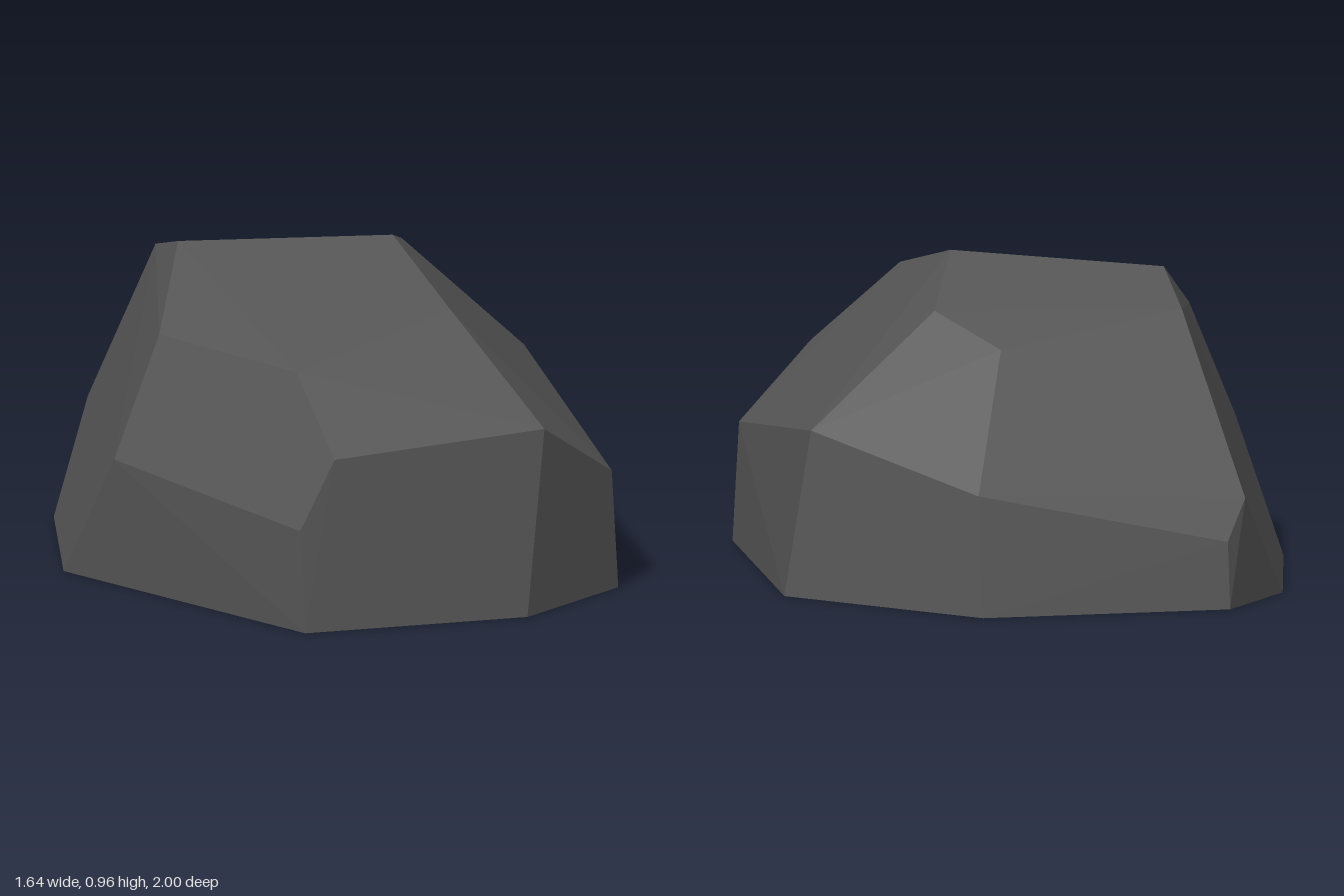
import * as THREE from 'three';
import { ConvexGeometry } from 'three/addons/geometries/ConvexGeometry.js';

// Corners of the faceted boulder, ring by ring from the ground up
const groundRing = [
  [-0.35, 0, 1], [0.35, 0, 0.97], [0.72, 0, 0.66], [0.82, 0, -0.44],
  [0.34, 0, -1], [-0.42, 0, -1], [-0.65, 0, -0.71], [-0.82, 0, 0],
];
const waistRing = [
  [-0.36, 0.31, 0.98], [-0.25, 0.52, 0.97], [0.42, 0.56, 0.91], [0.7, 0.36, 0.66],
  [0.74, 0.5, -0.45], [0.34, 0.36, -0.94], [-0.42, 0.2, -0.97], [-0.49, 0.32, -0.9],
  [-0.73, 0.39, 0.24],
];
const shoulderRing = [
  [0.24, 0.85, 0.51], [-0.29, 0.73, 0.69], [-0.57, 0.75, 0.17],
];
const crown = [
  [0.21, 0.965, -0.02], [-0.39, 0.93, -0.26], [-0.37, 0.85, -0.58],
  [0.21, 0.76, -0.68], [0.36, 0.85, -0.45],
];

// Wraps the corners in a hull and leaves the underside open
function openHull(corners) {
  const hull = new ConvexGeometry(corners.map((c) => new THREE.Vector3(...c)));
  const p = hull.attributes.position;
  const kept = [];
  for (let i = 0; i < p.count; i += 3) {
    const onGround = [0, 1, 2].every((k) => p.getY(i + k) < 0.001);
    if (onGround) continue;
    for (let k = 0; k < 3; k++) kept.push(p.getX(i + k), p.getY(i + k), p.getZ(i + k));
  }
  const geometry = new THREE.BufferGeometry();
  geometry.setAttribute('position', new THREE.Float32BufferAttribute(kept, 3));
  geometry.computeVertexNormals();
  return geometry;
}

export function createModel() {
  const stone = new THREE.MeshStandardMaterial({
    color: 0x555555, flatShading: true, side: THREE.DoubleSide,
  });
  stone.name = 'dark grey stone';

  const boulder = new THREE.Mesh(
    openHull([...groundRing, ...waistRing, ...shoulderRing, ...crown]), stone);
  boulder.name = 'boulder';

  const group = new THREE.Group();
  group.name = 'rock';
  group.add(boulder);
  return group;
}
